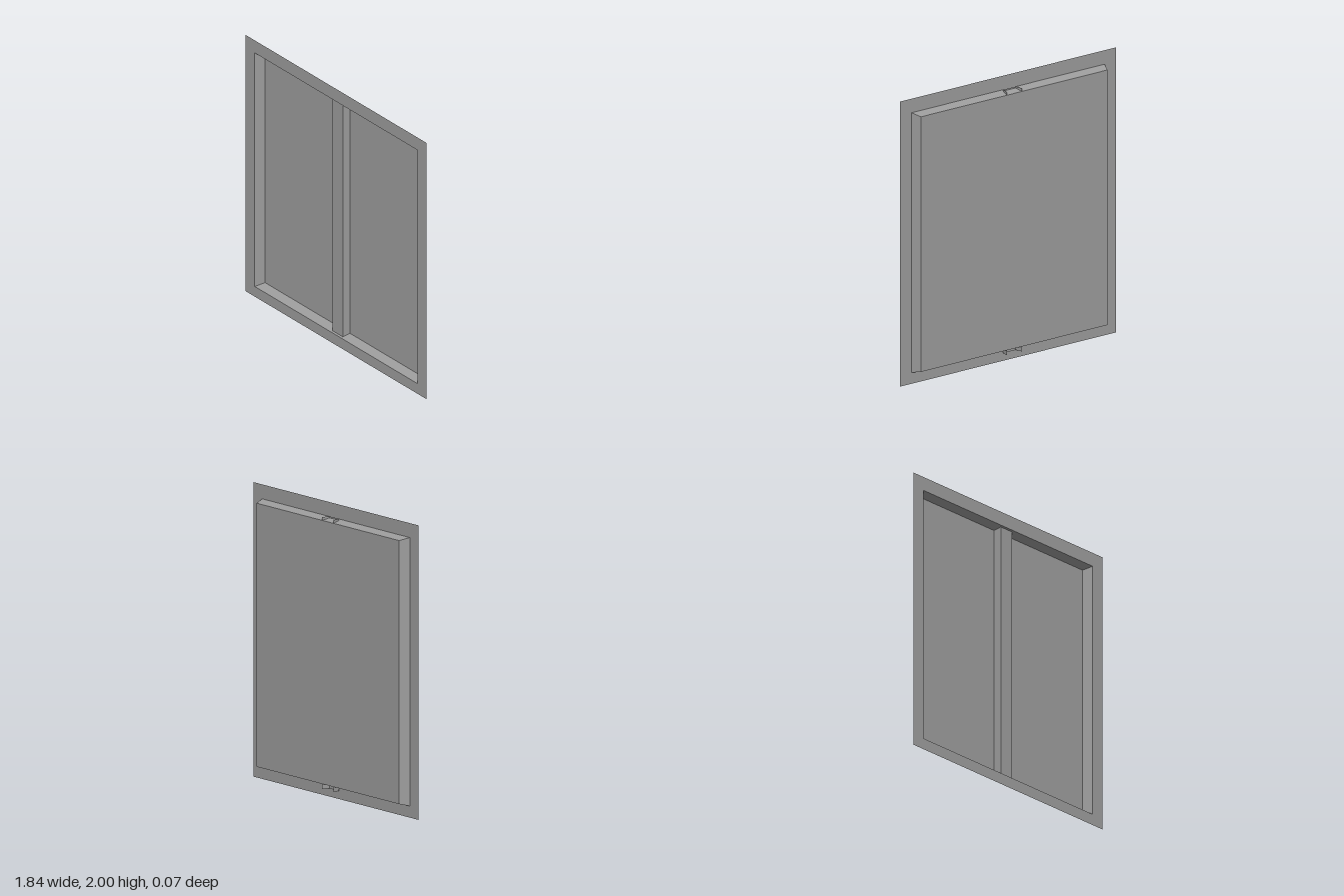
import * as THREE from 'three';

const material = new THREE.MeshStandardMaterial({ color: 0x9c9c9c, flatShading: true, side: THREE.DoubleSide });

// Rectangle corners, counter-clockwise from the front
const corners = (x, y0, y1, z) => [[-x, y0, z], [x, y0, z], [x, y1, z], [-x, y1, z]];

// Mesh made of four-cornered faces
function quads(name, faces) {
  const points = faces.flatMap(([a, b, c, d]) => [a, b, c, a, c, d]);
  const geometry = new THREE.BufferGeometry();
  geometry.setAttribute('position', new THREE.Float32BufferAttribute(points.flat(), 3));
  geometry.computeVertexNormals();
  const mesh = new THREE.Mesh(geometry, material);
  mesh.name = name;
  return mesh;
}

// Band of faces joining two rectangles
const band = (outer, inner) => outer.map((p, i) => {
  const j = (i + 1) % 4;
  return [p, outer[j], inner[j], inner[i]];
});

export function createModel() {
  const group = new THREE.Group();
  group.name = 'recessedWindow';

  const edge = corners(0.919, 0, 2, 0.035);
  const opening = corners(0.823, 0.079, 1.902, 0.035);
  const back = corners(0.795, 0.095, 1.885, -0.032);

  // Flat surround, sloping reveal and sunken panel
  group.add(quads('surround', band(edge, opening)));
  group.add(quads('reveal', band(opening, back)));
  group.add(quads('panel', [back]));

  // Central bar: an open channel with splayed sides, passing through the reveal
  const profile = [[-0.065, -0.035], [-0.054, 0.02], [0.053, 0.02], [0.064, -0.035]];
  const y0 = 0.06, y1 = 1.908;
  group.add(quads('centralBar', profile.slice(1).map(([x, z], i) => {
    const [px, pz] = profile[i];
    return [[px, y0, pz], [x, y0, z], [x, y1, z], [px, y1, pz]];
  })));

  return group;
}
